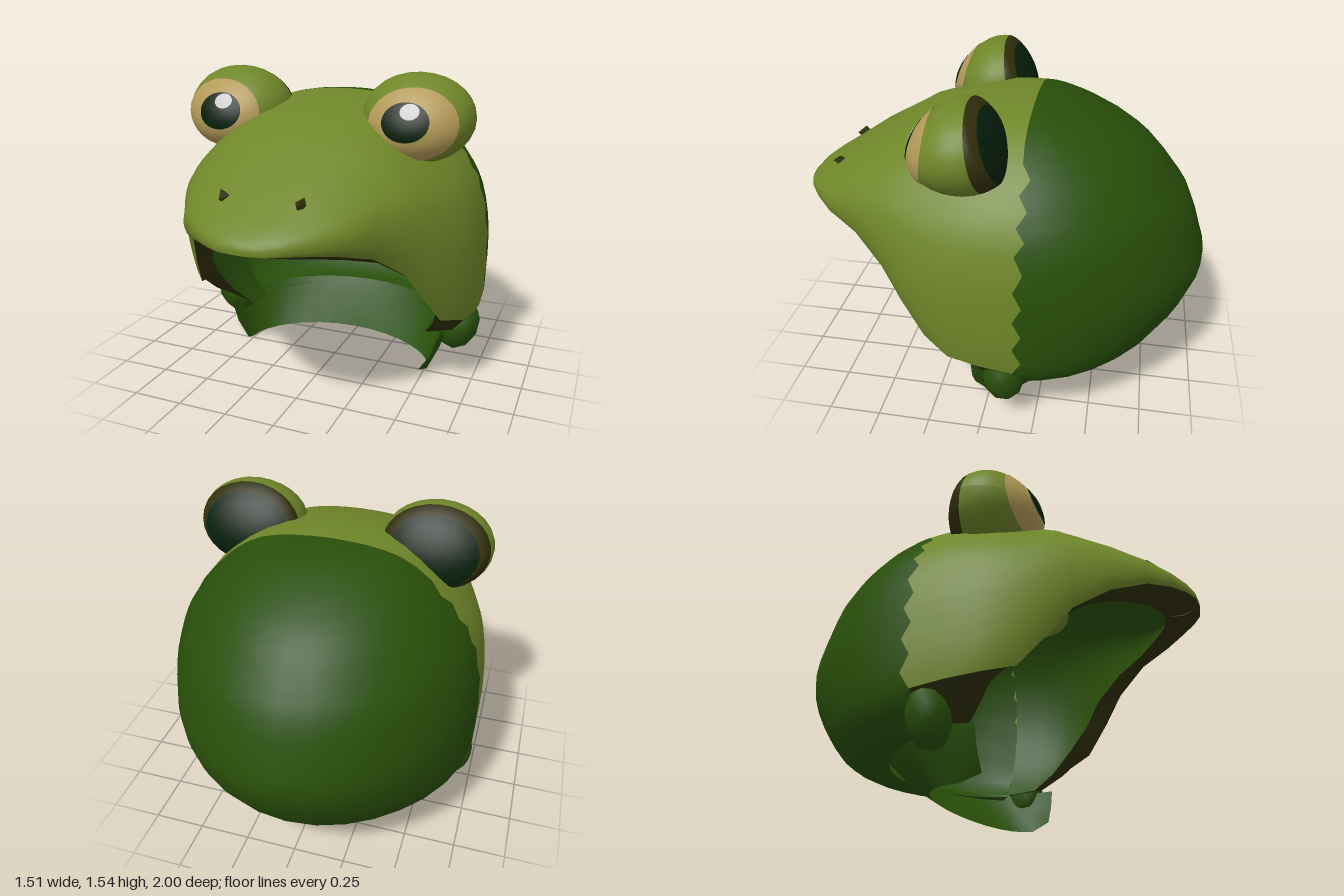
import * as THREE from 'three';

const mat = (name, color) => {
  const m = new THREE.MeshStandardMaterial({ color, side: THREE.DoubleSide });
  m.name = name;
  return m;
};

// Smooth surface from a rows x cols grid of points
function grid(rows, cols, point) {
  const pos = [], idx = [];
  for (let i = 0; i < rows; i++) for (let j = 0; j < cols; j++) pos.push(...point(i, j));
  for (let i = 0; i < rows - 1; i++) for (let j = 0; j < cols - 1; j++) {
    const a = i * cols + j, b = a + 1, c = a + cols, d = c + 1;
    idx.push(a, c, b, b, c, d);
  }
  const g = new THREE.BufferGeometry();
  g.setAttribute('position', new THREE.Float32BufferAttribute(pos, 3));
  g.setIndex(idx);
  g.computeVertexNormals();
  return g;
}

// Patch of a unit sphere facing +z, between two angles from its front
function cap(size, from, to) {
  return new THREE.SphereGeometry(size, 28, 8, 0, Math.PI * 2, from, to - from).rotateX(Math.PI / 2);
}

// Move every vertex of a geometry by a rule
function bend(g, rule) {
  const p = g.attributes.position, v = new THREE.Vector3();
  for (let i = 0; i < p.count; i++) {
    rule(v.fromBufferAttribute(p, i));
    p.setXYZ(i, v.x, v.y, v.z);
  }
  g.computeVertexNormals();
  return g;
}

export function createModel() {
  const group = new THREE.Group();
  const light = mat('light green', 0x6f8629);
  const dark = mat('dark green', 0x284f09);
  const olive = mat('dark olive', 0x302f0b);
  const beige = mat('beige', 0xb39a58);
  const pupilMat = mat('pupil green', 0x051f0a);
  const white = mat('white', 0xcccccc);
  const add = (parent, name, geo, material) => {
    const m = new THREE.Mesh(geo, material);
    m.name = name;
    parent.add(m);
    return m;
  };

  // Head profile from crown to rim: half width, height, depth to the back
  const profile = new THREE.CatmullRomCurve3([
    [0, 1.42, 0], [0.17, 1.41, 0.12], [0.33, 1.375, 0.25], [0.48, 1.28, 0.45], [0.58, 1.18, 0.58],
    [0.66, 1.07, 0.67], [0.71, 0.96, 0.75], [0.745, 0.8, 0.81], [0.755, 0.65, 0.85],
    [0.755, 0.5, 0.81], [0.74, 0.35, 0.72], [0.69, 0.27, 0.66], [0.6, 0.2, 0.55], [0.5, 0.2, 0.4],
  ].map(p => new THREE.Vector3(...p)));
  const levels = Array.from({ length: 27 }, (_, k) => profile.getPoint(k / 26));
  const N = 20; // level of the face's lower edge
  const seam = k => (k < 6 ? 0 : k % 2 ? -0.045 : -0.005);

  // Back of the head, with a jagged seam towards the face
  add(group, 'backShell', grid(17, 27, (i, k) => {
    const a = (i / 16) * Math.PI, p = levels[k];
    const r = 1 - 0.03 * Math.sin(2 * a) ** 2;
    const end = i === 0 || i === 16;
    return [r * p.x * Math.cos(a), p.y, -0.15 - r * p.z * Math.sin(a) + (end ? seam(k) : 0)];
  }), dark);

  // Face sections: z, half width, top, edge height, inner half width, inner height, inner z
  const face = [
    [1.0, 0.0, 0.93, 0.905, 0.0, 0.88, 0.83],
    [0.99, 0.1, 0.95, 0.905, 0.08, 0.875, 0.82],
    [0.96, 0.17, 0.98, 0.905, 0.14, 0.87, 0.79],
    [0.9, 0.26, 1.02, 0.9, 0.21, 0.86, 0.74],
    [0.8, 0.37, 1.08, 0.88, 0.31, 0.84, 0.66],
    [0.65, 0.46, 1.18, 0.83, 0.41, 0.79, 0.52],
    [0.5, 0.56, 1.26, 0.72, 0.5, 0.69, 0.38],
    [0.4, 0.62, 1.32, 0.58, 0.565, 0.57, 0.29],
    [0.28, 0.68, 1.36, 0.43, 0.6, 0.45, 0.18],
    [0.15, 0.72, 1.39, 0.39, 0.56, 0.32, 0.09],
    [0.0, 0.74, 1.42, 0.37, 0.5, 0.22, 0.0],
    [-0.15, 0.74, 1.42, 0.35, 0.48, 0.2, -0.15],
  ];
  const arch = (j, w, top, bottom) => {
    const k = Math.abs(j - N), p = levels[k], q = levels[N];
    return [Math.sign(j - N) * w * p.x / q.x, bottom + (top - bottom) * (p.y - q.y) / (1.42 - q.y)];
  };
  const curl = z => (z > 0.2 ? 0.06 : 0); // how far the cheek's lower edge turns in
  add(group, 'face', grid(face.length, 2 * N + 1, (i, j) => {
    const [z, w, t, b] = face[i], k = Math.abs(j - N);
    const width = w * (1 - curl(z) * (k / N) ** 10);
    return [...arch(j, width, t, b), z + (i === face.length - 1 ? seam(k) : 0)];
  }), light);
  add(group, 'faceLining', grid(face.length, 2 * N + 1, (i, j) => {
    const [, w, t, , iw, b, z] = face[i];
    const flare = 1 - (Math.abs(j - N) / N) ** 6;
    const width = iw + Math.max(0, w - 0.06 - iw) * flare;
    return [...arch(j, width, Math.max(t - 0.06, b), b), z];
  }), dark);

  for (const s of [-1, 1]) {
    // Mouth rim between the face and its lining
    add(group, 'mouthRim', grid(face.length, 3, (i, j) => {
      const [z, w, , b, iw, ib, iz] = face[i];
      const ow = w * (1 - curl(z));
      if (j === 0) return [s * ow, b, z];
      if (j === 2) return [s * iw, ib, iz];
      return [s * (ow * 0.55 + iw * 0.45 + 0.005), b * 0.3 + ib * 0.7 - 0.01, (z + iz) / 2];
    }), olive);

    // Folded tab at the jaw corner
    const tab = add(group, 'jawTab', new THREE.IcosahedronGeometry(1, 1), dark);
    tab.position.set(s * 0.65, 0.245, -0.1);
    tab.scale.set(0.1, 0.14, 0.1);
    tab.rotation.z = -s * 0.4;

    const nostril = add(group, 'nostril', new THREE.OctahedronGeometry(1), olive);
    nostril.position.set(s * 0.175, 1.07, 0.79);
    nostril.scale.set(0.028, 0.038, 0.044);
    nostril.rotation.z = -s * 0.4;

    // Eye: a bulge with an upturned front and a flattened, slanted back
    const eye = new THREE.Group();
    eye.name = 'eye';
    eye.position.set(s * 0.455, 1.335, 0.1);
    eye.scale.set(0.262, 0.206, 0.24);
    group.add(eye);
    const upturn = v => { v.z -= 0.25 * v.y * Math.max(v.z, 0); };
    const socket = (name, from, to, material) => {
      const g = bend(cap(1, from, to).rotateX(-0.22), v => {
        if (v.z < -0.45) v.z = -0.45 + (v.z + 0.45) * 0.45;
      });
      add(eye, name, bend(g.rotateX(0.4), upturn), material);
    };
    socket('eyelid', 0.5, 1.85, light);
    socket('eyeBackRim', 1.85, 2.22, olive);
    socket('eyeBack', 2.22, Math.PI, pupilMat);
    add(eye, 'iris', bend(cap(1.02, 0.3, 0.86).rotateX(0.05).rotateY(s * 0.1), upturn), beige);
    add(eye, 'pupil', bend(cap(1.03, 0, 0.41).rotateX(-0.05), upturn), pupilMat);
    add(eye, 'eyeGlint', bend(cap(1.045, 0, 0.16).rotateX(-0.27).rotateY(0.07), upturn), white);
  }

  // Neck skirt, a sloping band open at the front: half width, height, front z, depth
  const skirt = [[0.6, 0.23, -0.04, 0.51], [0.57, 0.13, -0.03, 0.42], [0.51, 0.03, -0.02, 0.28]];
  add(group, 'neckSkirt', grid(19, 3, (i, j) => {
    const [w, y, z, d] = skirt[j];
    if (i === 0 || i === 18) return [(i ? -1 : 1) * (w - 0.02), j === 2 ? 0.04 : y, 0.075];
    const a = ((i - 1) / 16) * Math.PI;
    const dip = j === 2 ? 0.03 * Math.cos(a) ** 2 : 0;
    return [w * Math.cos(a), y - dip, z - d * Math.sin(a)];
  }), dark);

  return group;
}
